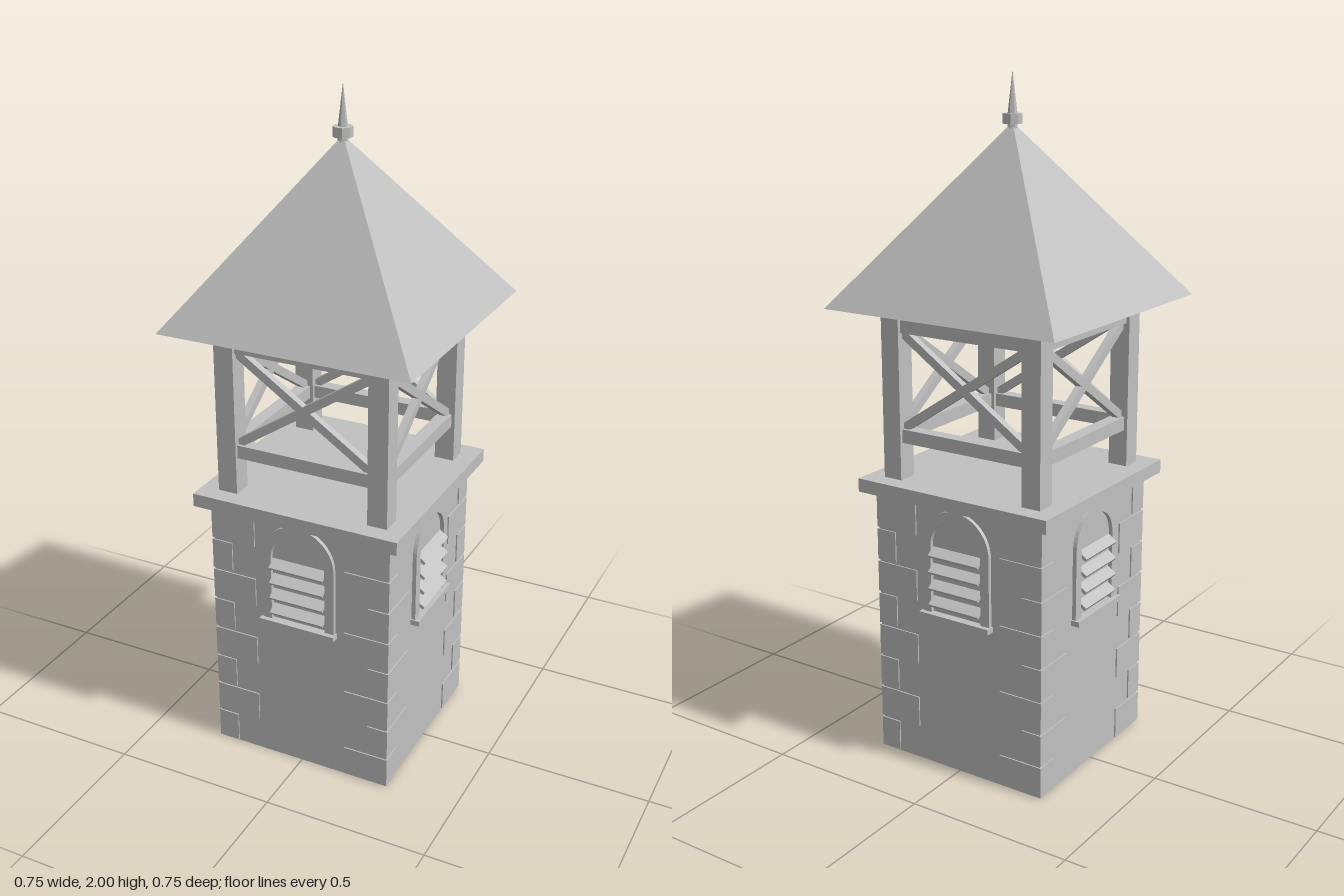
import * as THREE from 'three';

export function createModel() {
  const root = new THREE.Group();
  root.name = 'bellTower';
  const stone = new THREE.MeshStandardMaterial({ color: 0xc0c0c0, flatShading: true });
  stone.name = 'plain grey';

  const add = (parent, name, geo, x = 0, y = 0, z = 0) => {
    const m = new THREE.Mesh(geo, stone);
    m.name = name;
    m.position.set(x, y, z);
    parent.add(m);
    return m;
  };
  const box = (parent, name, w, h, d, x, y, z) =>
    add(parent, name, new THREE.BoxGeometry(w, h, d), x, y, z);

  // Tower shaft and the platform on top of it
  box(root, 'shaft', 0.56, 0.82, 0.56, 0, 0.41, 0);
  box(root, 'platform', 0.64, 0.04, 0.64, 0, 0.84, 0);

  // Round-headed outline used by the window frames
  const arch = (target, r, bottom, spring) => {
    target.moveTo(-r, bottom);
    target.lineTo(r, bottom);
    target.lineTo(r, spring);
    target.absarc(0, spring, r, 0, Math.PI, false);
    target.lineTo(-r, bottom);
    return target;
  };
  const frameShape = arch(new THREE.Shape(), 0.115, 0.485, 0.695);
  frameShape.holes.push(arch(new THREE.Path(), 0.086, 0.49, 0.695));
  const frameGeo = new THREE.ExtrudeGeometry(frameShape, {
    depth: 0.012, bevelEnabled: false, curveSegments: 12,
  });

  // Four identical sides, turned about the vertical axis
  for (let i = 0; i < 4; i++) {
    const side = new THREE.Group();
    side.name = 'side' + (i + 1);
    side.rotation.y = i * Math.PI / 2;
    root.add(side);

    // Interlocking corner stones, long and short in turn
    for (let c = 0; c < 8; c++) {
      const long = c % 2 === 0;
      const w = long ? 0.14 : 0.065, d = long ? 0.065 : 0.14;
      box(side, 'cornerStone', w, 0.094, d,
        0.284 - w / 2, 0.05 + c * 0.101, 0.284 - d / 2);
    }

    // Louvred window
    add(side, 'windowFrame', frameGeo, 0, 0, 0.28);
    box(side, 'windowSill', 0.24, 0.016, 0.028, 0, 0.482, 0.292);
    for (let s = 0; s < 4; s++) {
      const slat = box(side, 'louvreSlat', 0.17, 0.01, 0.036, 0, 0.526 + s * 0.05, 0.29);
      slat.rotation.x = 0.6;
    }

    // Open belfry: corner post, rails and crossed braces
    box(side, 'post', 0.06, 0.48, 0.06, 0.236, 1.1, 0.236);
    box(side, 'lowerRail', 0.42, 0.04, 0.04, 0, 0.99, 0.236);
    box(side, 'upperRail', 0.42, 0.04, 0.04, 0, 1.31, 0.236);
    const angle = Math.atan2(0.28, 0.42);
    for (const s of [-1, 1]) {
      const brace = box(side, 'brace', 0.505, 0.025, 0.022, 0, 1.15, 0.236);
      brace.rotation.z = s * angle;
    }
  }

  // Bell beam with its short hanger
  box(root, 'bellBeam', 0.46, 0.04, 0.04, 0, 1.31, 0);
  box(root, 'bellHanger', 0.04, 0.03, 0.04, 0, 1.298, 0);

  // Pyramid roof
  const roof = new THREE.ConeGeometry(0.377 * Math.SQRT2, 0.5, 4);
  roof.rotateY(Math.PI / 4);
  add(root, 'roof', roof, 0, 1.61, 0);

  // Finial
  const collar = new THREE.CylinderGeometry(0.028, 0.028, 0.028, 8);
  collar.rotateY(Math.PI / 8);
  add(root, 'finialCollar', collar, 0, 1.87, 0);
  add(root, 'finialStem', new THREE.CylinderGeometry(0.014, 0.014, 0.03, 6), 0, 1.85, 0);
  add(root, 'finialSpike', new THREE.ConeGeometry(0.014, 0.12, 6), 0, 1.94, 0);

  return root;
}
